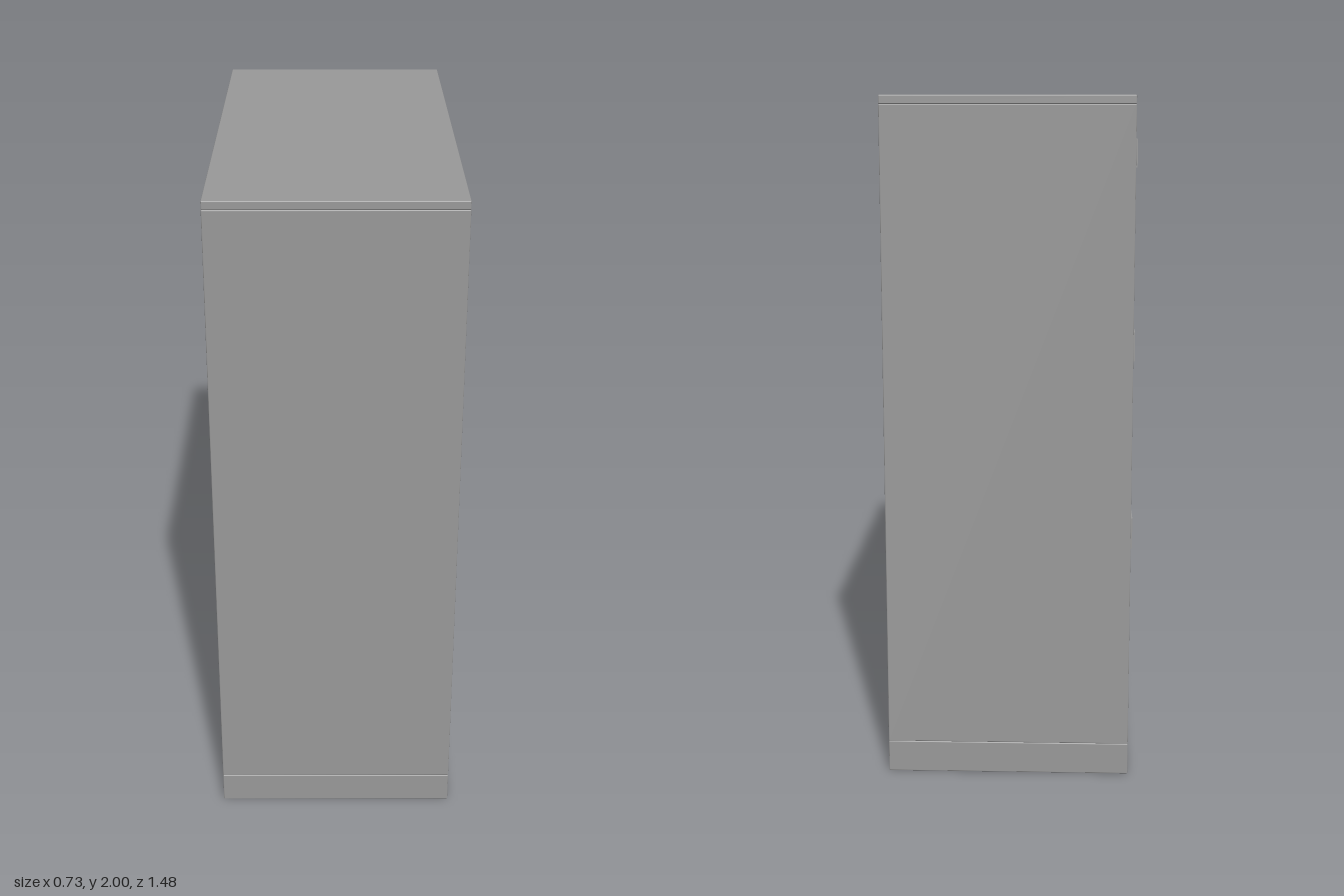
import * as THREE from 'three';
import { RoundedBoxGeometry } from 'three/addons/geometries/RoundedBoxGeometry.js';

const material = new THREE.MeshStandardMaterial({ color: 0x9a9a9a });
const BACK = 0.362, FACE = -0.355, HALF = 0.739;
const BASE_TOP = 0.095, LID_BOTTOM = 1.975, RECESS = 0.004, EASE = 0.003;

export function createModel() {
  const group = new THREE.Group();
  group.name = 'lockerCabinet';

  const add = (name, geometry, x, y, z) => {
    const mesh = new THREE.Mesh(geometry, material);
    mesh.name = name;
    mesh.position.set(x, y, z);
    group.add(mesh);
  };
  // Sheet-metal box with slightly eased edges
  const box = (name, x0, x1, y0, y1, z0, z1) =>
    add(name, new RoundedBoxGeometry(x1 - x0, y1 - y0, z1 - z0, 2, EASE), (x0 + x1) / 2, (y0 + y1) / 2, (z0 + z1) / 2);

  // Rectangular frame facing -x; width runs along z
  const corners = (w, h) => [[-w, -h], [w, -h], [w, h], [-w, h]].map(([u, v]) => new THREE.Vector2(u / 2, v / 2));
  const frame = (name, x0, x1, y0, y1, z0, z1, border) => {
    const w = z1 - z0, h = y1 - y0;
    const shape = new THREE.Shape(corners(w, h));
    shape.holes.push(new THREE.Path(corners(w - 2 * border, h - 2 * border).reverse()));
    const geometry = new THREE.ExtrudeGeometry(shape, { depth: x1 - x0, bevelEnabled: false });
    geometry.rotateY(-Math.PI / 2);
    add(name, geometry, x1, (y0 + y1) / 2, (z0 + z1) / 2);
  };

  // Plinth and lid
  box('plinth', FACE, BACK, 0, BASE_TOP, -HALF, HALF);
  box('lid', FACE, BACK, LID_BOTTOM, 2, -HALF, HALF);

  // Side walls and central divider
  for (const [name, z0, z1] of [['sideWall', 0.71, HALF], ['sideWall', -HALF, -0.71], ['divider', -0.015, 0.018]])
    box(name, FACE, BACK, BASE_TOP, LID_BOTTOM, z0, z1);

  // Each column: inner body closed by a recessed panel, and three doors with pulls
  const rows = [
    { y0: BASE_TOP, y1: 0.87, pull: [0.675, 0.768] },
    { y0: 0.87, y1: 1.428, pull: [1.24, 1.325] },
    { y0: 1.428, y1: LID_BOTTOM, pull: [1.798, 1.877] },
  ];
  for (const [z0, z1, pullZ] of [[-0.71, -0.015, -0.647], [0.018, 0.71, 0.078]]) {
    box('columnBody', FACE + 0.02, BACK - RECESS, BASE_TOP, LID_BOTTOM, z0, z1);
    for (const { y0, y1, pull } of rows) {
      box('door', FACE + RECESS, FACE + 0.022, y0, y1, z0, z1);
      frame('pullFrame', -0.363, FACE + 0.01, ...pull, pullZ, pullZ + 0.12, 0.017);
    }
  }
  return group;
}
